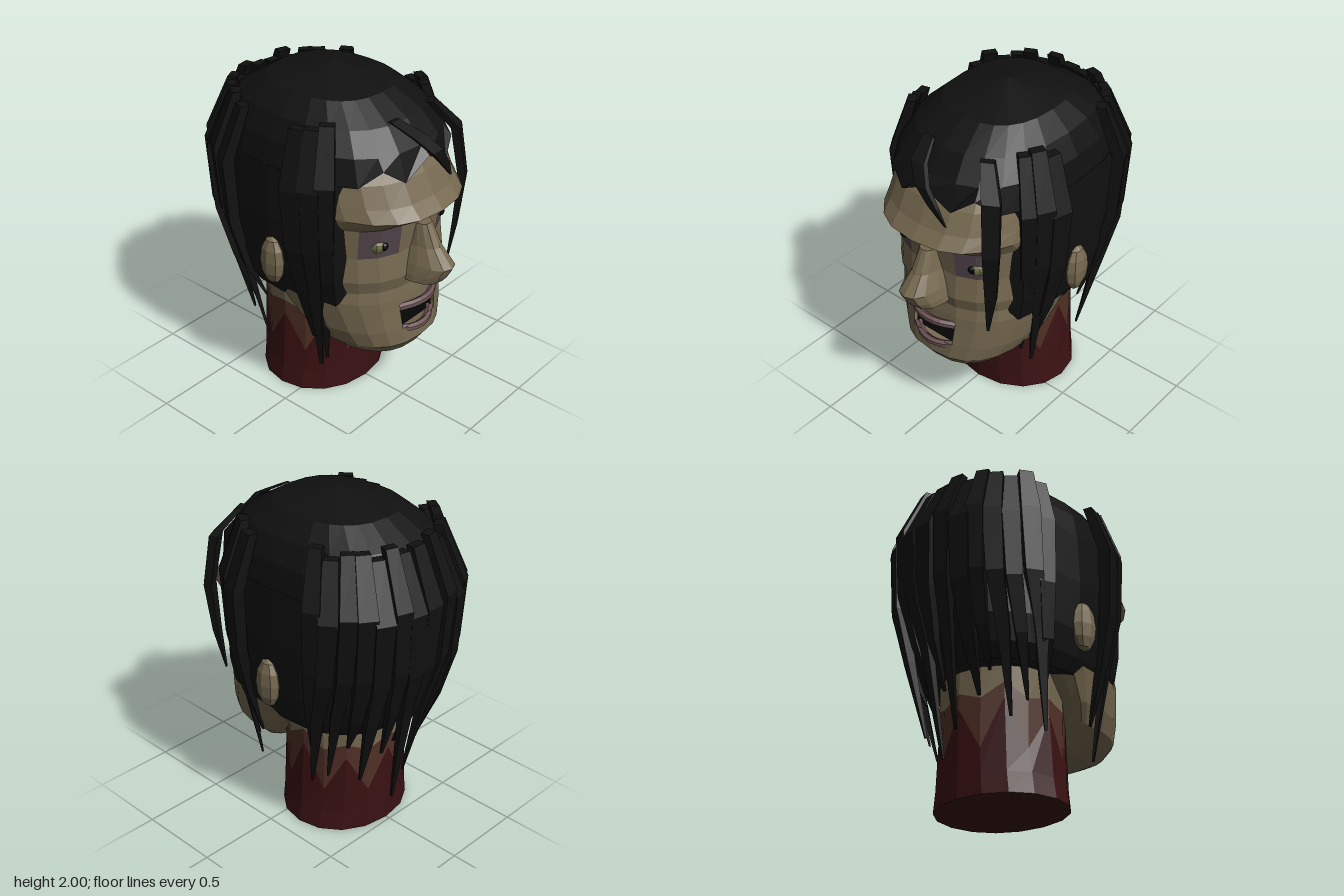
import * as THREE from 'three';

const material = (color) => new THREE.MeshStandardMaterial({ color, flatShading: true, side: THREE.DoubleSide, roughness: 0.9 });
const skin = material(0x75684f);
const bruise = material(0x51444a);
const lipColor = material(0x6b5254);
const blood = material(0x3a1112);
const stain = material(0x503026);
const hair = material(0x101010);
const black = material(0x050505);
const eyeColor = material(0x6d6e48);

const spow = (v, p) => Math.sign(v) * Math.abs(v) ** p;

// Rounded ring at height y: half width, widest z, front z, back z
function ring([y, hw, zc, front, back], n = 24, p = 0.8, zMax = Infinity) {
  return Array.from({ length: n }, (_, j) => {
    const t = (j / n) * Math.PI * 2;
    const c = spow(Math.cos(t), p);
    const z = zc + c * (c > 0 ? front - zc : zc - back);
    return new THREE.Vector3(hw * spow(Math.sin(t), p), y, Math.min(z, zMax));
  });
}

// Skin stacked rings (bottom to top); keep(i, j) selects which quads to build
function loft(rings, { bottom = true, top = true, keep = () => true } = {}) {
  const n = rings[0].length;
  const pos = rings.flat().flatMap((v) => [v.x, v.y, v.z]);
  const index = [];
  for (let i = 0; i < rings.length - 1; i++) {
    for (let j = 0; j < n; j++) {
      if (!keep(i, j)) continue;
      const k = (j + 1) % n;
      const a = i * n + j, b = i * n + k, c = a + n, d = b + n;
      index.push(a, b, d, a, d, c);
    }
  }
  const lid = (r, flip) => {
    const start = r * n, mid = pos.length / 3;
    const m = rings[r].reduce((s, v) => s.add(v), new THREE.Vector3()).divideScalar(n);
    pos.push(m.x, m.y, m.z);
    for (let j = 0; j < n; j++) {
      const a = start + j, b = start + ((j + 1) % n);
      index.push(mid, ...(flip ? [b, a] : [a, b]));
    }
  };
  if (bottom) lid(0, true);
  if (top) lid(rings.length - 1, false);
  const g = new THREE.BufferGeometry();
  g.setAttribute('position', new THREE.Float32BufferAttribute(pos, 3));
  g.setIndex(index);
  g.computeVertexNormals();
  return g;
}

// Tapered four-sided lock of hair through points listed from root to tip
function lock(points, normal, width, depth) {
  const u = new THREE.Vector3(0, 1, 0).cross(normal);
  const taper = [0.75, 1, 0.9, 0.65, 0.15];
  const rings = points.map((p, i) => {
    const s = taper[Math.round((i / (points.length - 1)) * 4)];
    return [[1, -1], [1, 1], [-1, 1], [-1, -1]].map(([a, b]) =>
      p.clone().addScaledVector(normal, (a * depth * s) / 2).addScaledVector(u, (b * width * s) / 2));
  });
  return loft(rings.reverse());
}

export function createModel() {
  const model = new THREE.Group();
  const add = (name, geometry, mat, parent = model) => {
    const mesh = new THREE.Mesh(geometry, mat);
    mesh.name = name;
    parent.add(mesh);
    return mesh;
  };

  // Face, with an open mouth and bruised eye sockets
  const face = [
    [0.36, 0.12, 0.25, 0.36, 0.2], [0.38, 0.22, 0.22, 0.46, 0.17], [0.43, 0.3, 0.2, 0.57, 0.14],
    [0.5, 0.37, 0.15, 0.62, 0.08], [0.6, 0.42, 0.1, 0.61, -0.02], [0.73, 0.455, 0.05, 0.595, -0.2],
    [0.8, 0.475, 0, 0.59, -0.4], [0.87, 0.465, 0, 0.58, -0.5], [0.95, 0.485, 0, 0.6, -0.6],
    [1.1, 0.48, 0, 0.58, -0.6], [1.28, 0.485, 0, 0.6, -0.6], [1.36, 0.49, 0, 0.73, -0.6],
    [1.43, 0.49, 0, 0.665, -0.6], [1.55, 0.475, 0, 0.6, -0.6], [1.75, 0.38, 0, 0.44, -0.45],
  ].map((r) => ring(r));
  const isMouth = (i, j) => i === 4 && (j === 0 || j === 23);
  const isSocket = (i, j) => i === 9 && [1, 2, 21, 22].includes(j);
  add('face', loft(face, { keep: (i, j) => !isMouth(i, j) && !isSocket(i, j) }), skin);
  add('eyeSockets', loft(face, { bottom: false, top: false, keep: isSocket }), bruise);

  // Mouth cavity and lips
  const cavity = add('mouthCavity', new THREE.BoxGeometry(0.29, 0.13, 0.26),
    new THREE.MeshStandardMaterial({ color: 0x050505, side: THREE.BackSide }));
  cavity.position.set(0, 0.665, 0.44);
  for (const [name, y, z, bow] of [['upperLip', 0.74, 0.63, 0.012], ['lowerLip', 0.59, 0.615, -0.015]]) {
    const curve = new THREE.CatmullRomCurve3([-1, -0.5, 0, 0.5, 1].map((s) =>
      new THREE.Vector3(s * 0.155, y + bow * (1 - s * s), z - 0.06 * s * s)));
    add(name, new THREE.TubeGeometry(curve, 8, 0.023, 6), lipColor);
  }

  // Nose
  add('nose', loft([
    [0.92, 0.125, 0.57, 0.75, 0.5], [0.96, 0.12, 0.57, 0.78, 0.5], [1.02, 0.105, 0.57, 0.81, 0.5],
    [1.12, 0.07, 0.57, 0.72, 0.5], [1.25, 0.05, 0.57, 0.65, 0.5],
  ].map((r) => ring(r, 14))), skin);

  // Eyes and ears
  for (const side of [-1, 1]) {
    const eye = new THREE.Group();
    eye.name = side > 0 ? 'leftEye' : 'rightEye';
    eye.position.set(side * 0.26, 1.17, 0.495);
    add('eyeball', new THREE.SphereGeometry(0.05, 10, 8), eyeColor, eye);
    add('pupil', new THREE.SphereGeometry(0.026, 8, 6), black, eye).position.set(-side * 0.008, 0, 0.035);
    model.add(eye);
    const ear = add(side > 0 ? 'leftEar' : 'rightEar', new THREE.SphereGeometry(1, 8, 6), skin);
    ear.scale.set(0.055, 0.15, 0.085);
    ear.position.set(side * 0.525, 0.98, -0.04);
  }

  // Neck: bloody stump with a jagged edge, fading up to skin
  const neckRing = (y, hw = 0.35) => ring([y, hw, -0.13, 0.21, -0.475], 16, 0.95);
  const jag = (y, high) => neckRing(y, 0.345).map((v, j) => v.setY(j % 2 ? y : high + 0.03 * Math.sin(j * 2)));
  const edge = jag(0.26, 0.51), fade = jag(0.54, 0.6);
  add('bloodyNeck', loft([neckRing(0, 0.39), neckRing(0.12, 0.37), edge], { top: false }), blood);
  add('stainedNeck', loft([edge, fade], { bottom: false, top: false }), stain);
  add('upperNeck', loft([fade, neckRing(0.85, 0.36)], { bottom: false }), skin);

  // Hair: lower shell ends behind the face, upper cap carries a toothed fringe
  add('hairShell', loft([
    [0.72, 0.44, -0.06, 0.6, -0.55], [0.8, 0.485, -0.06, 0.64, -0.6], [0.95, 0.515, -0.06, 0.66, -0.66],
    [1.25, 0.525, -0.06, 0.66, -0.71], [1.56, 0.51, -0.06, 0.64, -0.71],
  ].map((r) => ring(r, 24, 0.8, 0.39))), hair);
  const fringe = ring([1.55, 0.51, -0.06, 0.625, -0.71]).map((v, j) =>
    v.setY({ 0: 1.65, 2: 1.64, 22: 1.64 }[j] ?? 1.55));
  add('hairCap', loft([fringe, ...[
    [1.7, 0.485, -0.06, 0.57, -0.67], [1.82, 0.42, -0.06, 0.47, -0.59],
    [1.92, 0.31, -0.06, 0.3, -0.42], [2, 0.005, -0.06, -0.055, -0.065],
  ].map((r) => ring(r))], { bottom: false }), hair);

  // Hanging locks: angle from the front (degrees), tip height, sideways drift, width
  const locks = new THREE.Group();
  locks.name = 'hairLocks';
  model.add(locks);
  const hanging = [
    [52, 0.45, 2, 0.1], [62, 0.35, 3, 0.11], [74, 0.52, -6, 0.12],
    [-54, 0.34, -3, 0.11], [-65, 0.29, 2, 0.12], [-77, 0.48, 7, 0.12],
    [117, 0.58, -5, 0.1], [126, 0.36, -14, 0.11], [136, 0.42, -12, 0.1], [145, 0.62, -6, 0.11],
    [154, 0.4, -5, 0.11], [163, 0.55, 4, 0.1], [171, 0.21, 6, 0.11], [180, 0.6, -3, 0.12],
    [189, 0.36, -5, 0.1], [198, 0.52, 4, 0.12], [207, 0.66, 3, 0.1], [216, 0.4, 10, 0.11],
    [226, 0.5, 12, 0.1], [236, 0.35, 15, 0.11], [245, 0.6, 6, 0.1],
  ];
  hanging.forEach(([deg, tip, drift, width], n) => {
    const wobble = 0.03 * Math.sin(n * 2.4);
    const path = [[1.84, 0.9, 0], [1.53, 1.09, 0.1], [1.15, 1.06, 0.25], [0.85, 0.95, 0.6], [tip, 0.79, 1]];
    const points = path.map(([y, s, k]) => {
      const t = THREE.MathUtils.degToRad(deg + drift * k);
      const c = spow(Math.cos(t), 0.8);
      return new THREE.Vector3(0.53 * s * spow(Math.sin(t), 0.8), y + (k < 1 ? wobble : 0), c * s * (c > 0 ? 0.45 : 0.69));
    });
    const t = THREE.MathUtils.degToRad(deg);
    add('lock', lock(points, new THREE.Vector3(Math.sin(t), 0, Math.cos(t)), width, 0.07), hair, locks);
  });

  // Loose locks over the forehead and beside the left eye
  const V = (...a) => new THREE.Vector3(...a);
  add('forelock', lock([V(-0.1, 1.84, 0.46), V(-0.05, 1.77, 0.59), V(0.02, 1.68, 0.65), V(0.1, 1.58, 0.655), V(0.17, 1.48, 0.645)],
    V(0, 0, 1), 0.09, 0.035), hair, locks);
  add('cheekLock', lock([V(0.27, 1.82, 0.42), V(0.38, 1.66, 0.52), V(0.41, 1.35, 0.56), V(0.39, 1.05, 0.54), V(0.35, 0.78, 0.52)],
    V(0.5, 0, 0.866), 0.1, 0.05), hair, locks);

  return model;
}
